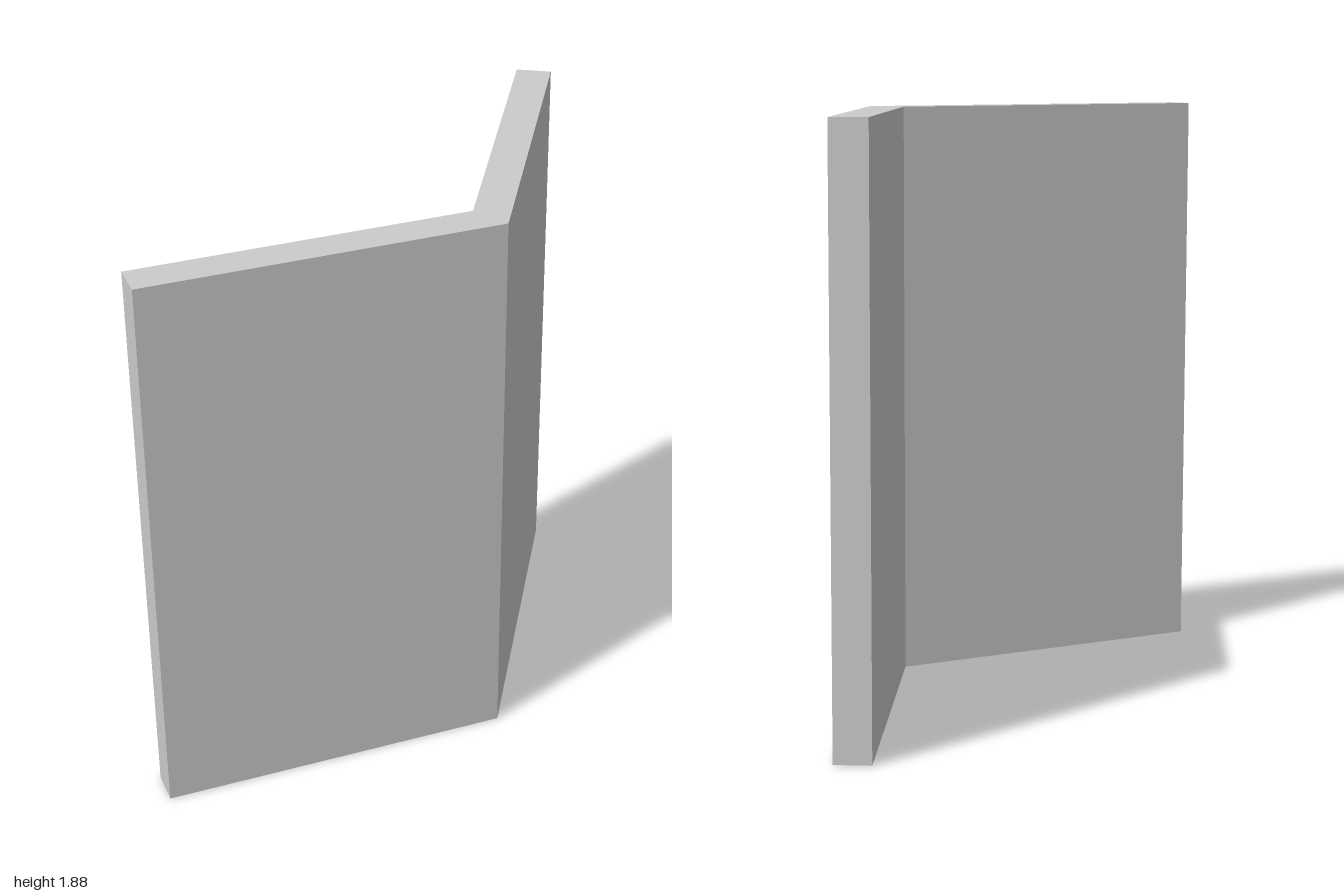
import * as THREE from 'three';

export function createModel() {
  const group = new THREE.Group();
  const height = 1.88;
  const material = new THREE.MeshStandardMaterial({ color: 0xcccccc, flatShading: true });

  // Chevron plan as [x, z] for one wing: front corner, outer end, back end, inner corner
  const wing = [[0, 0.339], [1, -0.238], [0.942, -0.339], [0, 0.205]];
  const mirrored = wing.slice(1, 3).reverse().map(([x, z]) => [-x, z]);
  const plan = [...wing, ...mirrored].map(([x, z]) => new THREE.Vector2(x, -z));

  // Angled wall, extruded upwards
  const geometry = new THREE.ExtrudeGeometry(new THREE.Shape(plan), { depth: height, bevelEnabled: false });
  geometry.rotateX(-Math.PI / 2);
  const wall = new THREE.Mesh(geometry, material);
  wall.name = 'angledWall';
  group.add(wall);

  return group;
}
